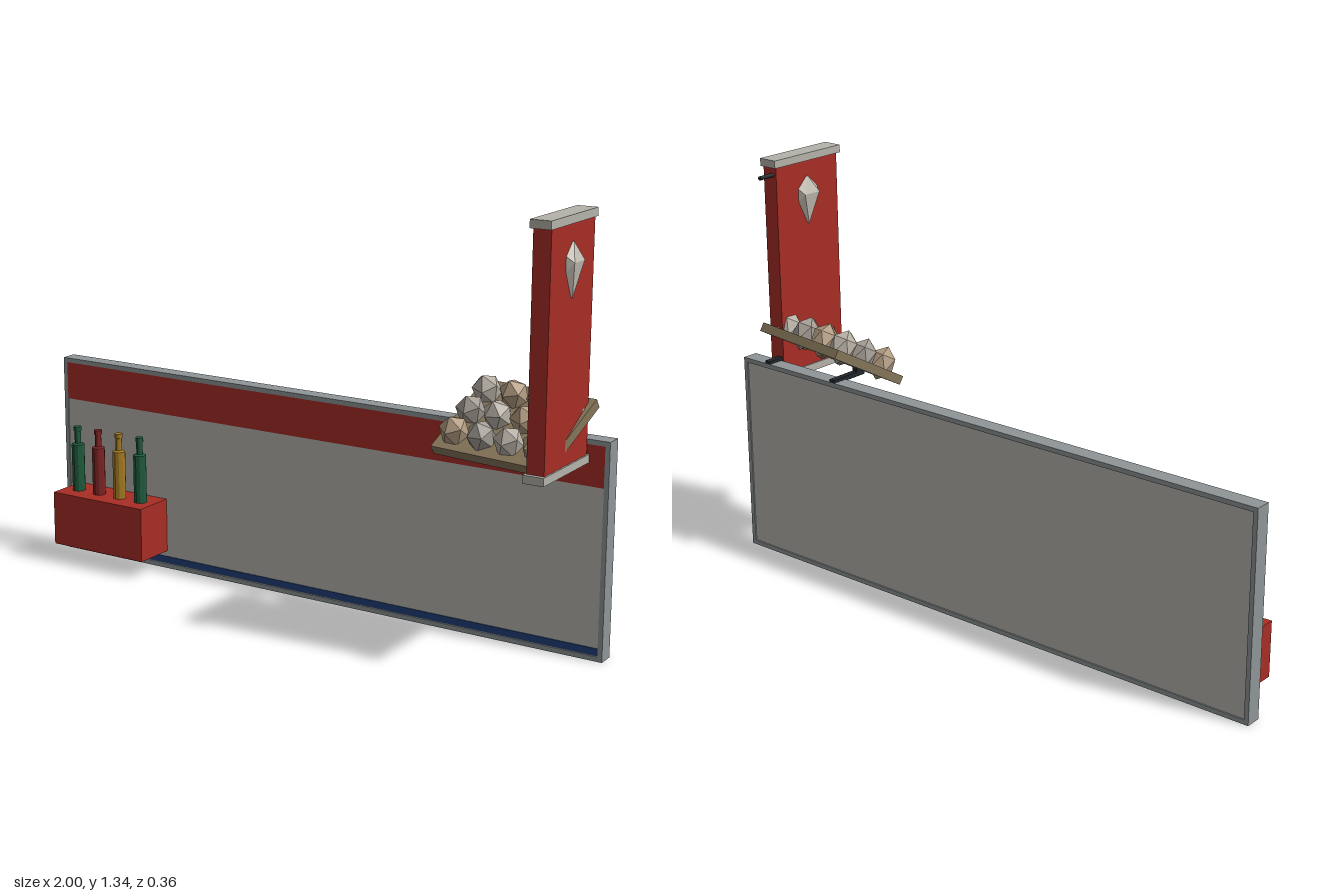
import * as THREE from 'three';

const mat = (color, flatShading = false) => new THREE.MeshStandardMaterial({ color, flatShading });
const RED = mat(0xa82d26), BLUE = mat(0x1f3f7a), PANEL = mat(0xbab7b0), TRIM = mat(0x8f9597);
const STONE = mat(0xb4b2aa), IRON = mat(0x22262a), WOOD = mat(0x85765a);

function add(parent, name, geometry, material, x = 0, y = 0, z = 0) {
  const mesh = new THREE.Mesh(geometry, material);
  mesh.name = name;
  mesh.position.set(x, y, z);
  parent.add(mesh);
  return mesh;
}

// Box given by its extents on each axis
function block(parent, name, material, [x0, x1], [y0, y1], [z0, z1]) {
  return add(parent, name, new THREE.BoxGeometry(x1 - x0, y1 - y0, z1 - z0), material,
    (x0 + x1) / 2, (y0 + y1) / 2, (z0 + z1) / 2);
}

function group(parent, name) {
  const g = new THREE.Group();
  g.name = name;
  parent.add(g);
  return g;
}

function buildWall(root) {
  const wall = group(root, 'wall');
  block(wall, 'wallPanel', PANEL, [-0.995, 0.995], [0.012, 0.658], [-0.158, -0.112]);
  for (const [name, y0, y1] of [['bottomRail', 0, 0.015], ['topRail', 0.655, 0.67]]) {
    block(wall, name, TRIM, [-1, 1], [y0, y1], [-0.162, -0.109]);
  }
  for (const s of [-1, 1]) {
    const post = block(wall, 'sideRail', TRIM, [0.985, 1], [0.015, 0.655], [-0.162, -0.109]);
    post.position.x *= s;
  }
  block(wall, 'redStripe', RED, [-0.985, 0.985], [0.53, 0.655], [-0.114, -0.109]);
  block(wall, 'blueStripe', BLUE, [-0.985, 0.985], [0.018, 0.04], [-0.114, -0.109]);
}

function buildBottleCrate(root) {
  const crate = group(root, 'bottleCrate');
  block(crate, 'crate', RED, [-0.945, -0.58], [0.06, 0.24], [-0.111, 0.03]);
  const profile = [[0, 0], [0.022, 0], [0.022, 0.16], [0.011, 0.164], [0.011, 0.205],
    [0.0135, 0.206], [0.0135, 0.22], [0, 0.22]].map(p => new THREE.Vector2(...p));
  const bottle = new THREE.LatheGeometry(profile, 10);
  [0x1f5a3c, 0x7c2424, 0xa37a22, 0x1f5a3c].forEach((color, i) =>
    add(crate, 'bottle', bottle, mat(color, true), -0.892 + i * 0.086, 0.24, -0.04));
}

function buildSign(root) {
  const sign = group(root, 'sign');
  block(sign, 'signBoard', RED, [0.875, 0.93], [0.62, 1.318], [-0.103, 0.172]);
  for (const [name, y] of [['lowerCap', 0.6], ['upperCap', 1.315]]) {
    block(sign, name, STONE, [0.87, 0.935], [y, y + 0.025], [-0.112, 0.185]);
  }
  // Faceted emblem showing on both faces, widest a little above its middle
  const gem = new THREE.IcosahedronGeometry(1, 0);
  const p = gem.attributes.position;
  for (let i = 0; i < p.count; i++) {
    const t = p.getY(i) / 0.851;
    p.setXYZ(i, p.getX(i) * 0.058, t * 0.079 + 0.025 * (1 - t * t), p.getZ(i) * 0.062);
  }
  gem.computeVertexNormals();
  add(sign, 'emblem', gem, mat(0xc4bfb4, true), 0.9025, 1.185, 0.035);
  // Bracket rod at the back
  const rod = new THREE.CylinderGeometry(0.007, 0.007, 0.06, 8).rotateX(Math.PI / 2);
  add(sign, 'signRod', rod, IRON, 0.89, 1.29, -0.131);
}

function buildTray(root) {
  // Iron brackets resting on the wall top
  for (const x of [0.6, 0.89]) {
    block(root, 'trayBracket', IRON, [x - 0.01, x + 0.01], [0.665, 0.68], [-0.162, -0.02]);
    block(root, 'trayBracketPost', IRON, [x - 0.01, x + 0.01], [0.675, 0.70], [-0.055, -0.035]);
  }
  // Tilted, slightly turned board carrying three rows of four faceted pieces
  const tray = group(root, 'tray');
  tray.position.set(0.741, 0.7, -0.016);
  tray.rotation.set(0.52, -0.13, 0, 'YXZ');
  add(tray, 'trayBoard', new THREE.BoxGeometry(0.39, 0.03, 0.305), WOOD);
  const piece = new THREE.IcosahedronGeometry(0.046, 0).rotateZ(-0.5536).scale(1, 1.25, 1);
  const tones = [mat(0xb5aea3, true), mat(0xb09a80, true), mat(0xa39c94, true)];
  for (let row = 0; row < 3; row++) {
    for (let col = 0; col < 4; col++) {
      const egg = add(tray, 'trayPiece', piece, tones[(row * 2 + col) % 3],
        (col - 1.5) * 0.095, 0.03, (row - 1) * 0.093);
      egg.rotation.y = row * 1.1 + col * 0.7;
    }
  }
}

export function createModel() {
  const root = new THREE.Group();
  root.name = 'stallWall';
  buildWall(root);
  buildBottleCrate(root);
  buildSign(root);
  buildTray(root);
  return root;
}
